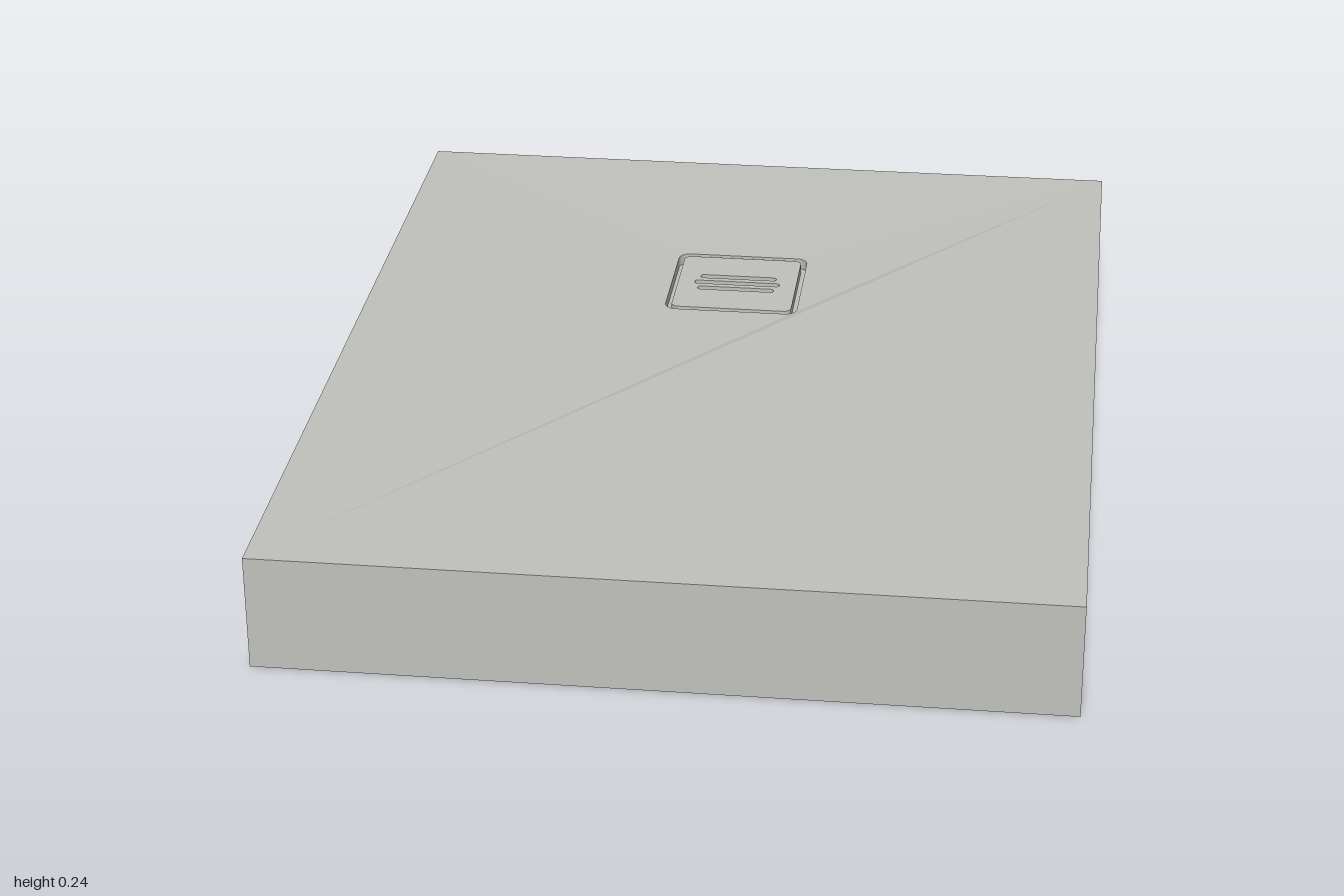
import * as THREE from 'three';

const DRAIN_Z = -0.345;

// Rounded rectangle outline on the ground plane, centred at (cx, cz)
function roundedRect(PathType, width, depth, radius, cx = 0, cz = 0) {
  const p = new PathType();
  const x0 = cx - width / 2, x1 = cx + width / 2;
  const y0 = -cz - depth / 2, y1 = -cz + depth / 2;
  if (radius === 0) {
    p.moveTo(x0, y0).lineTo(x1, y0).lineTo(x1, y1).lineTo(x0, y1);
    p.closePath();
    return p;
  }
  p.moveTo(x0 + radius, y0);
  p.lineTo(x1 - radius, y0);
  p.absarc(x1 - radius, y0 + radius, radius, -Math.PI / 2, 0, false);
  p.lineTo(x1, y1 - radius);
  p.absarc(x1 - radius, y1 - radius, radius, 0, Math.PI / 2, false);
  p.lineTo(x0 + radius, y1);
  p.absarc(x0 + radius, y1 - radius, radius, Math.PI / 2, Math.PI, false);
  p.lineTo(x0, y0 + radius);
  p.absarc(x0 + radius, y0 + radius, radius, Math.PI, Math.PI * 1.5, false);
  return p;
}

// Upright plate between two heights, with optional holes
function plate(shape, holes, bottom, top) {
  shape.holes.push(...holes);
  const g = new THREE.ExtrudeGeometry(shape, {
    depth: top - bottom, bevelEnabled: false, curveSegments: 8,
  });
  g.rotateX(-Math.PI / 2);
  g.translate(0, bottom, 0);
  return g;
}

export function createModel() {
  const group = new THREE.Group();
  const stone = new THREE.MeshStandardMaterial({ color: 0xc0c0bd });
  stone.name = 'stone grey';

  const add = (name, geometry) => {
    const mesh = new THREE.Mesh(geometry, stone);
    mesh.name = name;
    group.add(mesh);
  };
  const { Shape, Path } = THREE;

  // Top sheet, falling very slightly towards the drain recess
  const top = plate(
    roundedRect(Shape, 1.6, 2, 0),
    [roundedRect(Path, 0.29, 0.29, 0.025, 0, DRAIN_Z)], 0.21, 0.24);
  const pos = top.attributes.position;
  for (let i = 0; i < pos.count; i++) {
    if (pos.getY(i) > 0.23 && Math.abs(pos.getX(i)) < 0.2) pos.setY(i, 0.234);
  }
  top.computeVertexNormals();
  add('trayTop', top);

  // Thin side walls around the hollow underside
  add('sideWalls', plate(
    roundedRect(Shape, 1.6, 2, 0),
    [roundedRect(Path, 1.54, 1.94, 0)], 0, 0.21));

  // Inward lip at the foot of the walls, narrower at the back
  add('bottomLip', plate(
    roundedRect(Shape, 1.54, 1.94, 0),
    [roundedRect(Path, 1.4, 1.865, 0.06, 0, -0.0325)], 0, 0.012));

  // Drain pan hanging below the sheet
  add('drainPan', plate(
    roundedRect(Shape, 0.3, 0.3, 0.04, 0, DRAIN_Z), [], 0.18, 0.211));

  // Drain cover with three slots, set inside a narrow groove
  const slots = [-1, 0, 1].map((i) => roundedRect(
    Path, i === 0 ? 0.19 : 0.17, 0.016, 0.0079, 0, DRAIN_Z + i * 0.03));
  add('drainCover', plate(
    roundedRect(Shape, 0.264, 0.264, 0.016, 0, DRAIN_Z), slots, 0.211, 0.234));

  return group;
}
